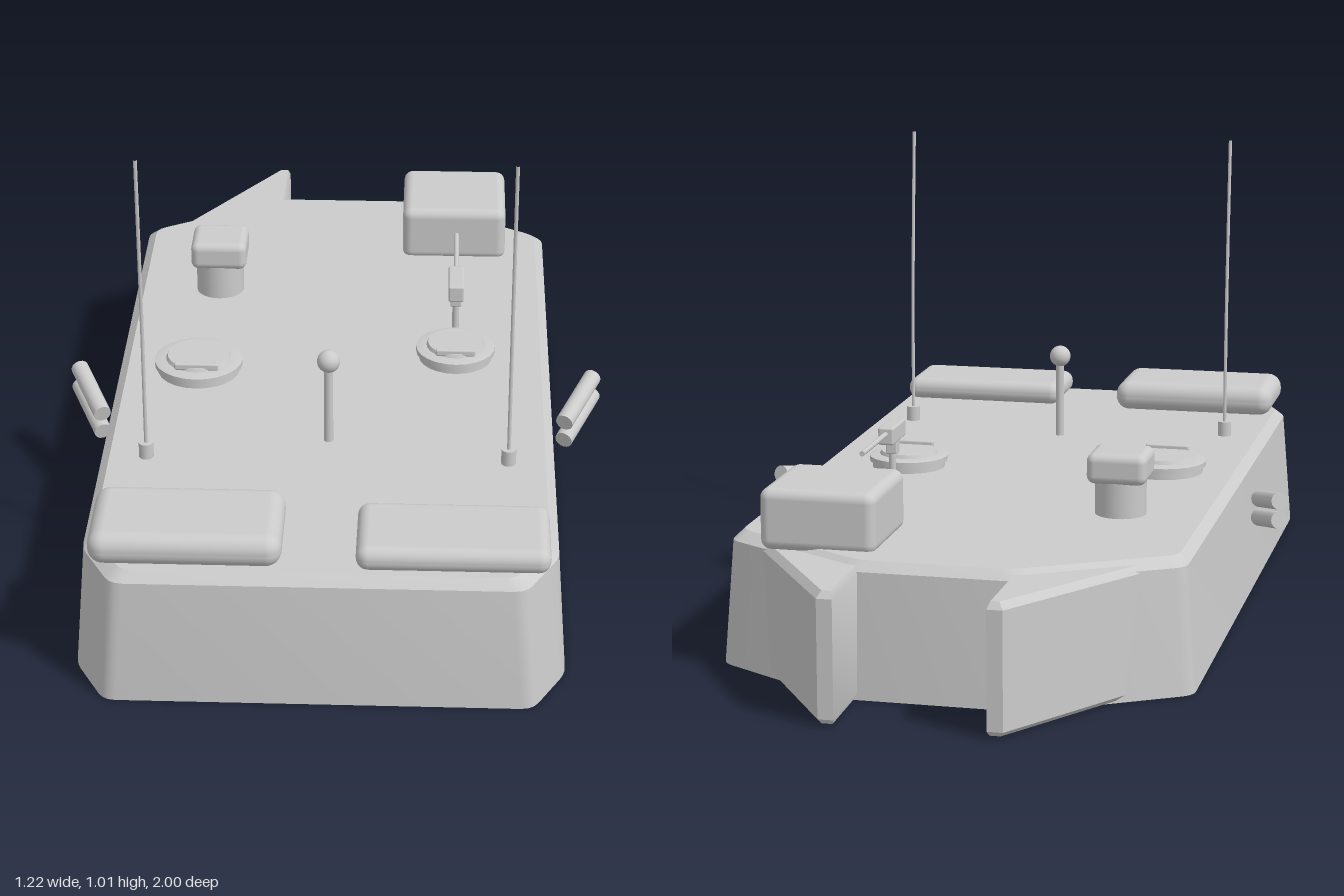
import * as THREE from 'three';
import { toCreasedNormals } from 'three/addons/utils/BufferGeometryUtils.js';
import { RoundedBoxGeometry } from 'three/addons/geometries/RoundedBoxGeometry.js';

const grey = new THREE.MeshStandardMaterial({ color: 0xcccccc });

// Polygon outline with each corner softened by a short curve
function softOutline(points, radius) {
  const out = [], n = points.length;
  points.forEach((p, i) => {
    const a = points[(i + n - 1) % n], b = points[(i + 1) % n];
    const start = p.clone().add(a.clone().sub(p).setLength(radius));
    const end = p.clone().add(b.clone().sub(p).setLength(radius));
    out.push(...new THREE.QuadraticBezierCurve(start, p, end).getPoints(3));
  });
  return out;
}

// Hull corners in (x, z) for half width w, front f, rear r
function hullOutline(w, f, r) {
  const half = [[w - 0.07, f], [w, f - 0.13], [w, r + 0.185], [w - 0.31, r]];
  const all = [...half, ...half.map(([x, z]) => [-x, z]).reverse()];
  return softOutline(all.map(([x, z]) => new THREE.Vector2(x, z)), 0.025);
}

// Closed solid through outlines stacked in y
function loft(sections) {
  const n = sections[0].outline.length, pos = [], idx = [];
  sections.forEach(({ y, outline }) => outline.forEach((p) => pos.push(p.x, y, p.y)));
  for (let s = 0; s < sections.length - 1; s++) {
    for (let i = 0; i < n; i++) {
      const a = s * n + i, b = s * n + (i + 1) % n;
      idx.push(a, a + n, b, b, a + n, b + n);
    }
  }
  const top = (sections.length - 1) * n;
  for (let i = 1; i < n - 1; i++) {
    idx.push(0, i, i + 1);
    idx.push(top, top + i + 1, top + i);
  }
  // turn every face outward whichever way the outline runs
  const first = sections[0].outline;
  if (THREE.ShapeUtils.area(first) > 0) {
    for (let i = 0; i < idx.length; i += 3) [idx[i + 1], idx[i + 2]] = [idx[i + 2], idx[i + 1]];
  }
  const g = new THREE.BufferGeometry();
  g.setAttribute('position', new THREE.Float32BufferAttribute(pos, 3));
  g.setIndex(idx);
  // flip back if the signed volume is negative
  let volume = 0;
  const v = [0, 1, 2].map(() => new THREE.Vector3());
  for (let i = 0; i < idx.length; i += 3) {
    v.forEach((p, k) => p.fromArray(pos, idx[i + k] * 3));
    volume += v[0].dot(v[1].clone().cross(v[2]));
  }
  if (volume < 0) g.setIndex(idx.reverse());
  return toCreasedNormals(g, 0.6);
}

export function createModel() {
  const model = new THREE.Group();
  const add = (name, geometry, x = 0, y = 0, z = 0, parent = model) => {
    const mesh = new THREE.Mesh(geometry, grey);
    mesh.name = name;
    mesh.position.set(x, y, z);
    parent.add(mesh);
    return mesh;
  };
  // Box given by its limits on each axis
  const box = (name, [x0, x1], [y0, y1], [z0, z1], r) => add(name,
    new RoundedBoxGeometry(x1 - x0, y1 - y0, z1 - z0, 4, r),
    (x0 + x1) / 2, (y0 + y1) / 2, (z0 + z1) / 2);
  const cylinder = (name, r, y0, y1, x, z, sides = 24) =>
    add(name, new THREE.CylinderGeometry(r, r, y1 - y0, sides), x, (y0 + y1) / 2, z);

  // Tapered hull with a bevelled deck edge
  add('hull', loft([
    { y: 0, outline: hullOutline(0.51, 1.0, -0.82) },
    { y: 0.27, outline: hullOutline(0.49, 0.98, -0.81) },
    { y: 0.29, outline: hullOutline(0.47, 0.96, -0.79) },
  ]));

  for (const side of [-1, 1]) {
    // Wedge-shaped rear fins
    const wedge = (inset) => [[0.42 - inset, -0.65], [0.19 - inset * 0.6, -1 + inset * 0.7],
      [0.157 + inset * 0.4, -1 + inset * 0.7], [0.16 + inset * 0.4, -0.77]]
      .map(([x, z]) => new THREE.Vector2(x * side, z));
    add('rearFin', loft([
      { y: 0.005, outline: wedge(0.01) },
      { y: 0.015, outline: wedge(0) },
      { y: 0.265, outline: wedge(0) },
      { y: 0.28, outline: wedge(0.015) },
    ]));

    // Paired launcher tubes on each flank
    const inner = new THREE.Vector3(side * 0.522, 0.215, 0.197);
    const outer = new THREE.Vector3(side * 0.59, 0.25, 0.045);
    const axis = outer.clone().sub(inner);
    for (const drop of [0, 0.045]) {
      const tube = add('launcherTube', new THREE.CylinderGeometry(0.02, 0.02, axis.length(), 16));
      tube.position.copy(inner).add(outer).multiplyScalar(0.5);
      tube.position.y -= drop;
      tube.quaternion.setFromUnitVectors(new THREE.Vector3(0, 1, 0), axis.clone().normalize());
    }

    // Whip antennas, leaning forward toward the tip
    cylinder('antennaBase', 0.016, 0.285, 0.325, side * 0.39, 0.507, 16);
    const whip = new THREE.CatmullRomCurve3([[0.32, 0.507], [0.6, 0.511], [0.8, 0.521], [1.005, 0.535]]
      .map(([y, z]) => new THREE.Vector3(side * 0.39, y, z)));
    add('antennaWhip', new THREE.TubeGeometry(whip, 16, 0.004, 8));
  }

  // Stowage on the deck
  box('leftFrontPack', [0.075, 0.47], [0.288, 0.342], [0.75, 0.955], 0.025);
  box('rightFrontPack', [-0.47, -0.075], [0.288, 0.36], [0.73, 0.955], 0.033);
  box('rearStowageBox', [0.145, 0.395], [0.28, 0.412], [-0.73, -0.48], 0.022);

  // Sight head on its round neck
  cylinder('sightNeck', 0.056, 0.285, 0.375, -0.288, -0.292);
  box('sightHead', [-0.353, -0.222], [0.365, 0.432], [-0.357, -0.232], 0.018);

  // Round hatches: stepped collar, lid and grab bar
  for (const [x, z, r] of [[-0.308, 0.113, 0.1], [0.275, 0.032, 0.09]]) {
    const collar = [[0, 0], [r * 0.93, 0], [r * 0.93, 0.018], [r, 0.018], [r, 0.03],
      [r * 0.8, 0.034], [r * 0.74, 0.034], [r * 0.7, 0.042], [0, 0.042]]
      .map(([a, b]) => new THREE.Vector2(a, b));
    add('hatch', toCreasedNormals(new THREE.LatheGeometry(collar, 24), 0.6), x, 0.287, z);
    box('hatchGrabBar', [x - r * 0.5, x + r * 0.5], [0.322, 0.338], [z + r * 0.55, z + r * 0.68], 0.004);
  }

  // Pintle-mounted gun
  cylinder('gunPost', 0.008, 0.285, 0.36, 0.275, -0.11, 12);
  box('gunCradle', [0.262, 0.288], [0.352, 0.39], [-0.122, -0.095], 0.003);
  box('gunBody', [0.257, 0.293], [0.383, 0.423], [-0.168, -0.056], 0.005);
  const barrel = add('gunBarrel', new THREE.CylinderGeometry(0.006, 0.006, 0.2, 12), 0.275, 0.408, -0.26);
  barrel.rotation.x = Math.PI / 2;

  // Sensor mast with ball tip
  cylinder('mastPole', 0.01, 0.285, 0.48, 0, 0.423, 16);
  add('mastBall', new THREE.SphereGeometry(0.025, 24, 16), 0, 0.485, 0.423);

  return model;
}
